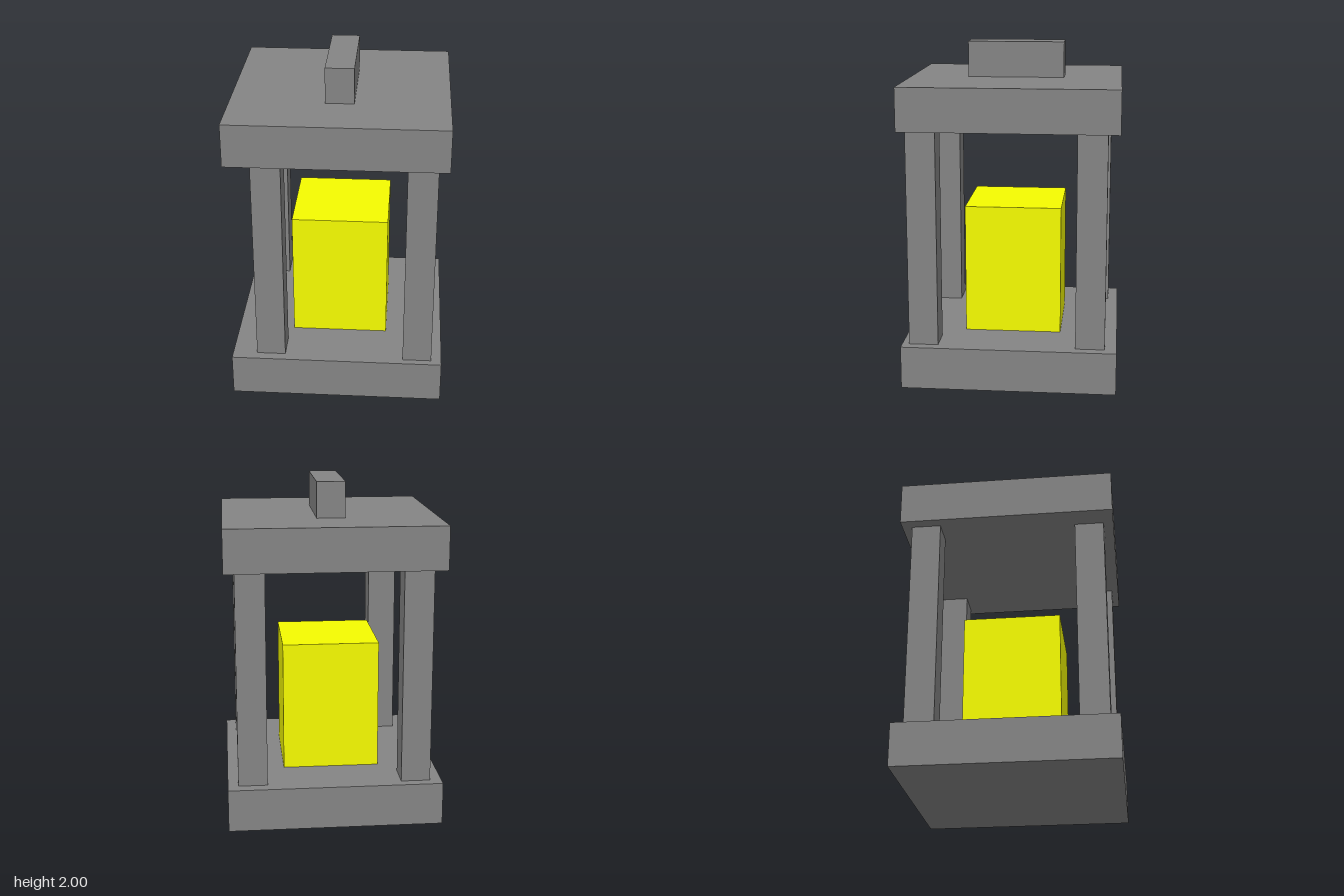
import * as THREE from 'three';

const frameMaterial = new THREE.MeshStandardMaterial({ color: 0x848484, flatShading: true });
const glowMaterial = new THREE.MeshStandardMaterial({ color: 0xf5fb00, flatShading: true });

// Box whose underside sits at height y
function block(name, [w, h, d], [x, y, z], material = frameMaterial) {
  const mesh = new THREE.Mesh(new THREE.BoxGeometry(w, h, d), material);
  mesh.name = name;
  mesh.position.set(x, y + h / 2, z);
  return mesh;
}

export function createModel() {
  const lantern = new THREE.Group();
  lantern.name = 'lantern';

  const side = 1.268;      // base and roof width
  const slab = 0.254;      // base and roof thickness
  const roofY = 1.534;     // underside of the roof
  const postWidth = 0.173;

  // Base, roof and carrying handle
  lantern.add(
    block('base', [side, slab, side], [0, 0, 0]),
    block('roof', [side, slab, side], [0, roofY, 0]),
    block('handle', [0.168, 2 - roofY - slab, 0.575], [0, roofY + slab, 0]),
  );

  // Four slightly uneven corner posts
  const posts = {
    frontLeftPost: [0.486, 0.506],
    frontRightPost: [-0.401, 0.489],
    backLeftPost: [0.486, -0.478],
    backRightPost: [-0.479, -0.488],
  };
  for (const [name, [x, z]] of Object.entries(posts)) {
    lantern.add(block(name, [postWidth, roofY - slab, postWidth], [x, slab, z]));
  }

  // Glowing light block
  lantern.add(block('light', [0.578, 0.777, 0.578], [0, slab, 0], glowMaterial));

  return lantern;
}
